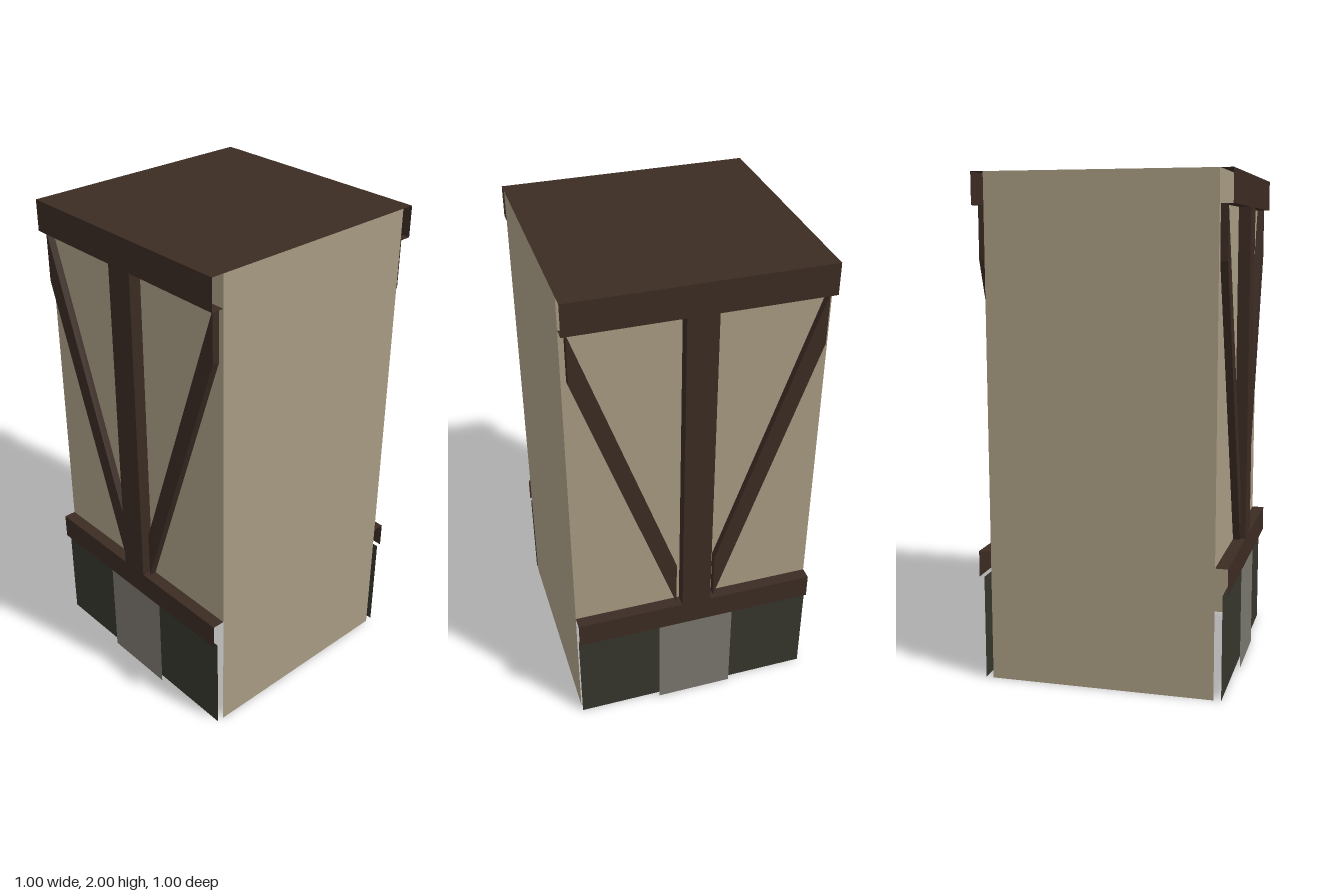
import * as THREE from 'three';

const flat = (name, color) => {
  const m = new THREE.MeshStandardMaterial({ color, side: THREE.DoubleSide });
  m.name = name;
  return m;
};

export function createModel() {
  const timber = flat('dark timber', 0x3b2b23);
  const plaster = flat('tan plaster', 0xa79a81);
  const stone = flat('dark stone', 0x35352d);
  const paving = flat('grey stone', 0x79746d);

  const WALL = 0.45, BRACE = 0.48, FRONT = 0.5;
  const BASE_TOP = 0.42, SILL_TOP = 0.525, LINTEL = 1.875, TOP = 2;

  const add = (parent, name, geometry, material) => {
    const mesh = new THREE.Mesh(geometry, material);
    mesh.name = name;
    parent.add(mesh);
    return mesh;
  };

  // Upright sheet facing +z
  const sheet = (parent, name, halfWidth, y0, y1, z, material) =>
    add(parent, name, new THREE.PlaneGeometry(2 * halfWidth, y1 - y0), material)
      .position.set(0, (y0 + y1) / 2, z);

  // Narrow horizontal ledge between the plaster and the beam face
  const ledge = (parent, name, y, turn) => {
    const g = new THREE.PlaneGeometry(1, FRONT - WALL).rotateX(turn);
    add(parent, name, g, timber).position.set(0, y, (WALL + FRONT) / 2);
  };

  const createFace = (name) => {
    const face = new THREE.Group();
    face.name = name;

    // Plaster infill and open-ended beams
    sheet(face, 'plasterPanel', 0.5, SILL_TOP, TOP, WALL, plaster);
    sheet(face, 'topBeam', 0.5, LINTEL, TOP, FRONT, timber);
    ledge(face, 'topBeamUnderside', LINTEL, Math.PI / 2);
    sheet(face, 'sillBeam', 0.5, BASE_TOP, SILL_TOP, FRONT, timber);
    ledge(face, 'sillBeamTop', SILL_TOP, -Math.PI / 2);

    // Foundation sheet with a raised centre stone
    sheet(face, 'foundation', 0.5, 0, BASE_TOP, BRACE, stone);
    sheet(face, 'centreStone', 0.16, 0, BASE_TOP, FRONT, paving);

    // Centre post
    const back = WALL + 0.001;
    add(face, 'centrePost', new THREE.BoxGeometry(0.12, LINTEL - SILL_TOP, FRONT - back), timber)
      .position.set(0, (SILL_TOP + LINTEL) / 2, (back + FRONT) / 2);

    // Mirrored slanting braces with upright ends
    for (const s of [1, -1]) {
      const outline = new THREE.Shape([
        [0.08, SILL_TOP], [0.48, 1.67], [0.48, LINTEL], [0.08, 0.73],
      ].map(([x, y]) => new THREE.Vector2(s * x, y)));
      const g = new THREE.ExtrudeGeometry(outline, { depth: BRACE - back, bevelEnabled: false });
      add(face, s > 0 ? 'leftBrace' : 'rightBrace', g, timber).position.z = back;
    }
    return face;
  };

  const model = new THREE.Group();
  model.name = 'timberFramedWallBlock';

  // Identical front and back
  model.add(createFace('frontFace'));
  const rear = createFace('backFace');
  rear.rotation.y = Math.PI;
  model.add(rear);

  // Plain side walls, full height
  for (const s of [1, -1]) {
    const g = new THREE.PlaneGeometry(2 * WALL, TOP).rotateY(s * Math.PI / 2);
    add(model, s > 0 ? 'leftWall' : 'rightWall', g, plaster).position.set(s * 0.5, TOP / 2, 0);
  }

  // Flat top
  add(model, 'topCover', new THREE.PlaneGeometry(1, 2 * FRONT).rotateX(-Math.PI / 2), timber)
    .position.y = TOP;

  return model;
}
